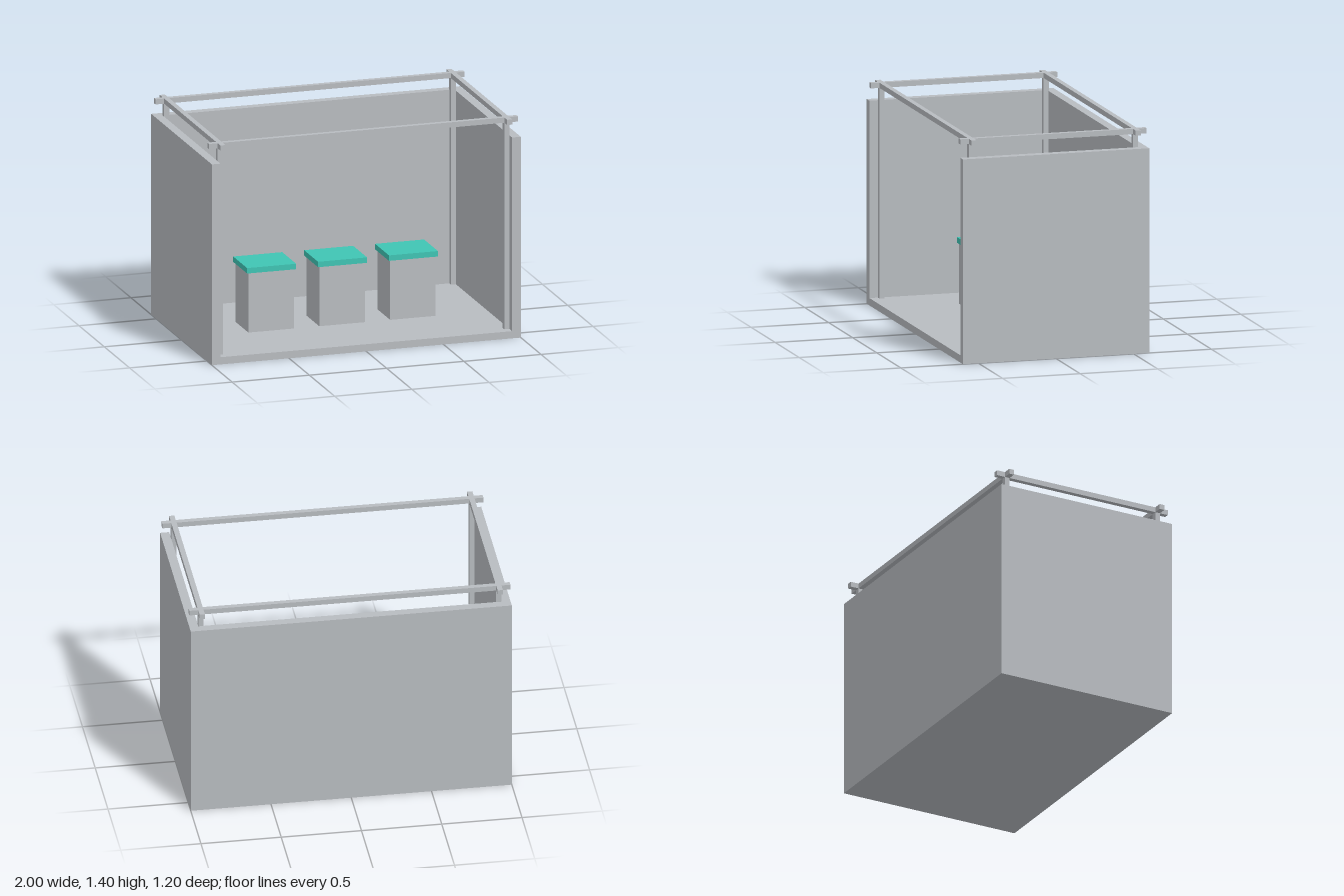
import * as THREE from 'three';

export function createModel() {
  const model = new THREE.Group();
  model.name = 'marketStall';

  const grey = new THREE.MeshStandardMaterial({ color: 0xb8bcc0 });
  grey.name = 'grey';
  const teal = new THREE.MeshStandardMaterial({ color: 0x40c4b4 });
  teal.name = 'teal';

  const W = 1, D = 0.6;                 // half width, half depth
  const wallT = 0.056, wallTop = 1.284, floorT = 0.046;
  const frameTop = 1.4, bar = 0.033;
  const postX = 0.928, postZ = 0.529;   // frame centre lines

  function box(name, material, w, h, d, x, bottom, z, parent = model) {
    const mesh = new THREE.Mesh(new THREE.BoxGeometry(w, h, d), material);
    mesh.name = name;
    mesh.position.set(x, bottom + h / 2, z);
    parent.add(mesh);
    return mesh;
  }

  // U-shaped walls, open at the front (shape y becomes -z)
  const plan = new THREE.Shape([
    [-W, -D], [-W + wallT, -D], [-W + wallT, D - wallT], [W - wallT, D - wallT],
    [W - wallT, -D], [W, -D], [W, D], [-W, D],
  ].map(([x, y]) => new THREE.Vector2(x, y)));
  const wallGeometry = new THREE.ExtrudeGeometry(plan, { depth: wallTop, bevelEnabled: false });
  wallGeometry.rotateX(-Math.PI / 2);
  const walls = new THREE.Mesh(wallGeometry, grey);
  walls.name = 'walls';
  model.add(walls);

  // Floor slab fitted between the walls
  box('floor', grey, 2 * (W - wallT), floorT, 2 * D - wallT, 0, 0, wallT / 2);

  // Corner posts and the crossing roof bars
  const frame = new THREE.Group();
  frame.name = 'roofFrame';
  model.add(frame);
  for (const s of [-1, 1]) {
    for (const t of [-1, 1]) {
      box('post', grey, bar, frameTop - floorT, bar, s * postX, floorT, t * postZ, frame);
    }
    box('longBar', grey, 2 * W, bar, bar, 0, frameTop - bar, s * postZ, frame);
    box('sideBar', grey, bar, bar, 2 * D, s * postX, frameTop - bar, 0, frame);
  }

  // Three pedestals with overhanging tops
  for (const x of [-0.461, -0.002, 0.457]) {
    const pedestal = new THREE.Group();
    pedestal.name = 'pedestal';
    model.add(pedestal);
    box('pedestalBase', grey, 0.295, 0.427 - floorT, 0.255, x, floorT, -0.002, pedestal);
    box('pedestalTop', teal, 0.317, 0.035, 0.275, x, 0.427, -0.002, pedestal);
  }

  return model;
}
